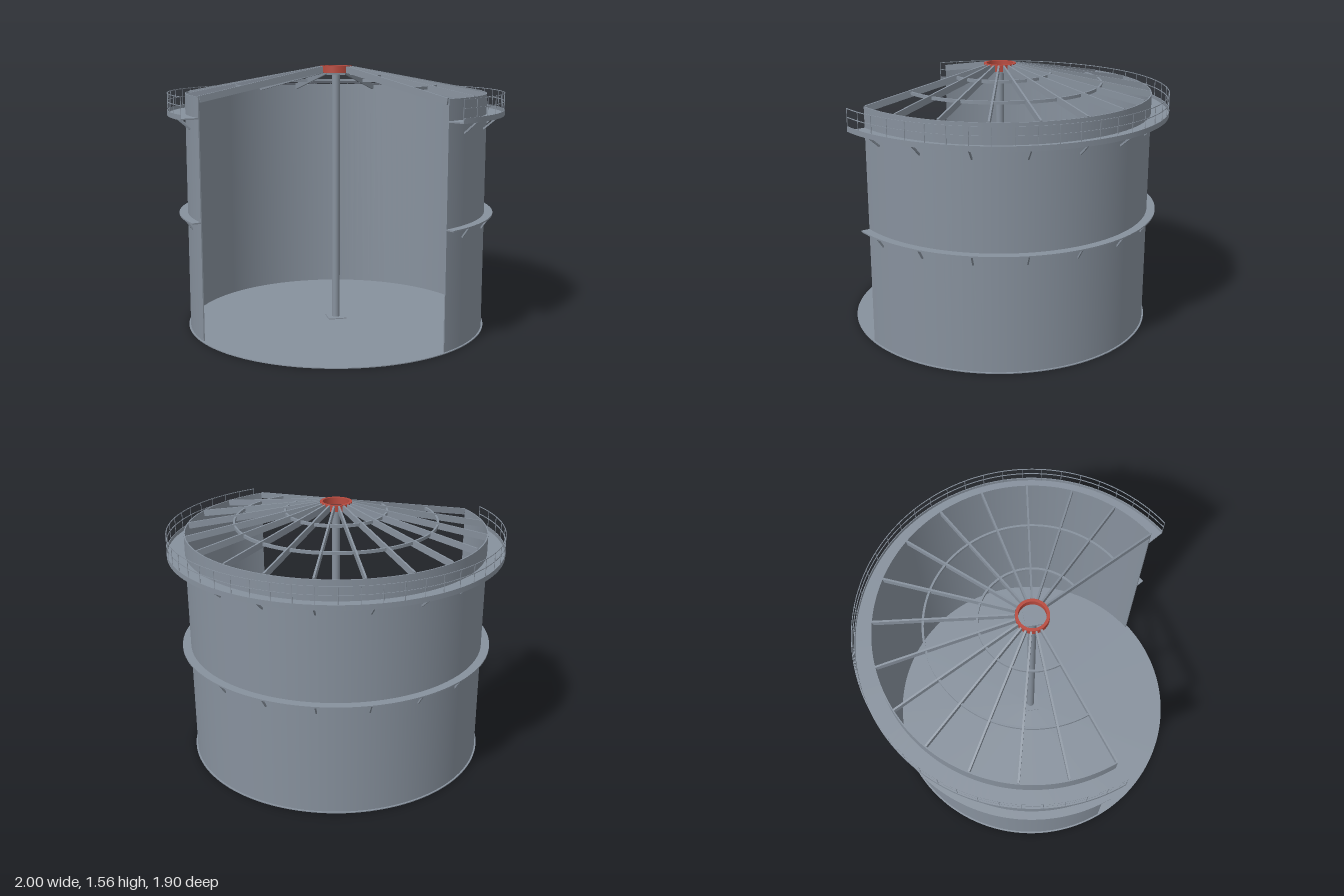
import * as THREE from 'three';
import { mergeGeometries } from 'three/addons/utils/BufferGeometryUtils.js';

const RAD = Math.PI / 180;
const START = 30 * RAD, SWEEP = 260 * RAD; // the front is cut open over 100 degrees
const SHELL_R = 0.895;

// Rectangular section swept around the tank axis, with flat end caps when open
function sweptBar(r0, r1, y0, y1, start = START, sweep = SWEEP, segments = 104) {
  const corners = [[r1, y0], [r1, y1], [r0, y1], [r0, y0]].map(p => new THREE.Vector2(...p));
  const parts = corners.map((p, i) =>
    new THREE.LatheGeometry([p, corners[(i + 1) % 4]], segments, start, sweep));
  if (sweep < Math.PI * 2) {
    [0, 1].forEach(end => {
      const cap = new THREE.PlaneGeometry(r1 - r0, y1 - y0);
      if (end) cap.rotateY(Math.PI);
      cap.translate((r0 + r1) / 2, (y0 + y1) / 2, 0);
      cap.rotateY(start + end * sweep - Math.PI / 2);
      parts.push(cap);
    });
  }
  return mergeGeometries(parts);
}

// Straight bar lying in the radial plane at angle phi, from (ra, ya) to (rb, yb)
function radialBar(phi, ra, ya, rb, yb, depth, width) {
  const bar = new THREE.BoxGeometry(Math.hypot(rb - ra, yb - ya), depth, width);
  bar.rotateZ(Math.atan2(yb - ya, rb - ra));
  bar.translate((ra + rb) / 2, (ya + yb) / 2, 0);
  return bar.rotateY(phi - Math.PI / 2);
}

export function createModel() {
  const steel = new THREE.MeshStandardMaterial({ color: 0x87919d });
  steel.name = 'steel grey';
  const red = new THREE.MeshStandardMaterial({ color: 0xb84a3e });
  red.name = 'hub red';

  const model = new THREE.Group();
  model.name = 'cutawayTank';
  const tank = new THREE.Group();
  tank.name = 'tank';
  tank.position.z = 0.047;
  model.add(tank);

  const add = (name, geometry, material = steel) => {
    const mesh = new THREE.Mesh(geometry, material);
    mesh.name = name;
    tank.add(mesh);
    return mesh;
  };

  // Floor and cut-open shell
  add('floorPlate', new THREE.CylinderGeometry(0.905, 0.905, 0.005, 128)).position.y = 0.0025;
  add('shell', sweptBar(SHELL_R - 0.007, SHELL_R, 0.005, 1.405));

  // Centre column with base and cap plates
  add('column', new THREE.CylinderGeometry(0.024, 0.024, 1.505, 32)).position.y = 0.7575;
  add('columnBase', new THREE.BoxGeometry(0.11, 0.006, 0.11)).position.y = 0.008;
  add('columnCap', new THREE.BoxGeometry(0.092, 0.01, 0.092)).position.y = 1.515;

  // Roof frame: hub ring, sloping rafters and two purlin rings
  add('roofHub', sweptBar(0.078, 0.095, 1.52, 1.56, 0, Math.PI * 2, 48), red);
  const roofY = r => 1.56 - (r - 0.09) * 0.1875;
  for (let i = 0; i <= 15; i++) {
    const phi = START + SWEEP * i / 15;
    add('rafter', radialBar(phi, 0.093, roofY(0.093) - 0.02, 0.885, roofY(0.885) - 0.02, 0.038, 0.011));
  }
  for (const r of [0.3, 0.6]) {
    add('purlinRing', sweptBar(r - 0.006, r + 0.006, roofY(r) - 0.028, roofY(r) - 0.01));
  }

  // Upper walkway with toe board and railing
  add('walkwayDeck', sweptBar(SHELL_R, 1.0, 1.28, 1.288));
  add('toeBoard', sweptBar(0.996, 1.0, 1.288, 1.31));
  for (const y of [1.36, 1.408]) {
    add('handrail', sweptBar(0.995, 0.999, y - 0.002, y + 0.002));
  }
  for (let i = 0; i <= 39; i++) {
    const phi = START + SWEEP * i / 39;
    const post = add('railPost', new THREE.CylinderGeometry(0.002, 0.002, 0.122, 6));
    post.position.set(Math.sin(phi) * 0.997, 1.349, Math.cos(phi) * 0.997);
  }

  // Lower stiffening ring
  add('windGirder', sweptBar(SHELL_R, 0.945, 0.693, 0.701));

  // Diagonal struts under both rings
  for (let i = 0; i < 14; i++) {
    const phi = START + SWEEP * (i + 0.5) / 14;
    add('walkwayStrut', radialBar(phi, SHELL_R, 1.213, 0.972, 1.28, 0.01, 0.008));
    add('girderStrut', radialBar(phi, SHELL_R, 0.635, 0.935, 0.693, 0.009, 0.008));
  }

  return model;
}
